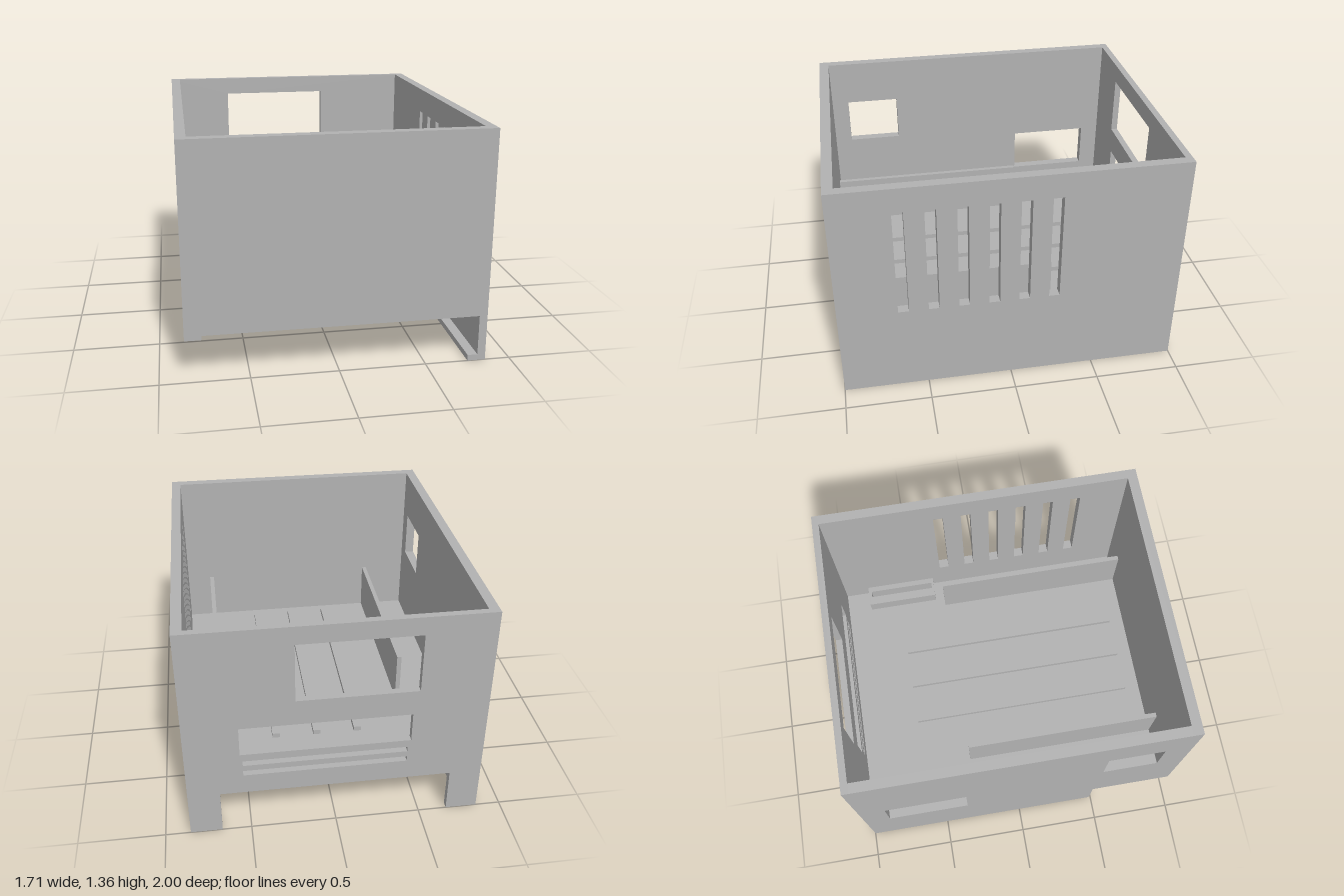
import * as THREE from 'three';

const W = 0.855, H = 1.36, FLOOR = 0.275, FLOOR_TOP = 0.315;
const IN_X = 0.797, BACK = -0.96, FRONT = 0.94;

export function createModel() {
  const model = new THREE.Group();
  model.name = 'enclosure';
  const grey = new THREE.MeshStandardMaterial({ color: 0xb2b2b2 });
  grey.name = 'grey';

  function add(name, geometry) {
    const mesh = new THREE.Mesh(geometry, grey);
    mesh.name = name;
    model.add(mesh);
  }

  // Box given by its limits on each axis
  function box(name, x0, x1, y0, y1, z0, z1) {
    const g = new THREE.BoxGeometry(x1 - x0, y1 - y0, z1 - z0);
    g.translate((x0 + x1) / 2, (y0 + y1) / 2, (z0 + z1) / 2);
    add(name, g);
  }

  // Flat plate with rectangular openings, each [u0, u1, v0, v1]
  const points = (list) => list.map(([u, v]) => new THREE.Vector2(u, v));
  function plate(outline, holes, depth) {
    const shape = new THREE.Shape(points(outline));
    for (const [a, b, c, d] of holes) {
      shape.holes.push(new THREE.Path(points([[a, c], [a, d], [b, d], [b, c]])));
    }
    return new THREE.ExtrudeGeometry(shape, { depth, bevelEnabled: false });
  }
  const rect = (a, b, c, d) => [[a, c], [b, c], [b, d], [a, d]];

  // Floor and front wall
  box('floor', -IN_X, IN_X, FLOOR, FLOOR_TOP, BACK, FRONT);
  box('frontWall', -W, W, FLOOR, H, FRONT, 1);

  // Back wall with two feet, two windows and two slits
  const back = plate(
    [[-W, 0], [-0.67, 0], [-0.67, FLOOR], [0.67, FLOOR], [0.67, 0], [W, 0], [W, H], [-W, H]],
    [
      [-0.455, 0.232, 0.89, 1.25],
      [-0.423, 0.546, 0.55, 0.733],
      [-0.405, 0.532, 0.47, 0.503],
      [-0.405, 0.532, 0.4, 0.433],
    ],
    BACK + 1
  );
  back.translate(0, 0, -1);
  add('backWall', back);

  // Left wall with a row of vent slots
  const vents = [];
  for (let i = 0; i < 6; i++) {
    const z = 0.625 - i * 0.1745;
    vents.push([z - 0.031, z + 0.031, 0.545, 1.21]);
  }
  const left = plate(rect(BACK, FRONT, FLOOR, H), vents, W - IN_X);
  left.rotateY(-Math.PI / 2).translate(W, 0, 0);
  add('ventedWall', left);

  // Right wall with two port openings
  const right = plate(
    rect(BACK, FRONT, FLOOR, H),
    [[-0.845, -0.345, 0.453, 0.733], [0.5, 0.833, 0.79, 1.08]],
    W - IN_X
  );
  right.rotateY(-Math.PI / 2).translate(-IN_X, 0, 0);
  add('portWall', right);

  // Side skirts with inward lips; the right one stops short of the front
  box('leftSkirt', 0.808, W, 0, FLOOR, BACK, 1);
  box('leftLip', 0.75, 0.808, 0, 0.035, BACK, 1);
  box('rightSkirt', -W, -0.808, 0, FLOOR, BACK, 0.49);
  box('rightLip', -0.808, -0.75, 0, 0.035, BACK, 0.49);

  // Inner partitions and floor ribs
  for (const x of [-0.513, 0.627]) {
    box('partition', x - 0.014, x + 0.014, FLOOR_TOP, 0.625, -0.28, FRONT);
  }
  for (const x of [-0.195, 0.057, 0.308]) {
    box('floorRib', x - 0.023, x + 0.023, FLOOR_TOP, 0.345, -0.59, 0.845);
  }

  // Slotted holder in the back left corner
  const holder = plate(rect(0.665, IN_X, -0.8, -0.34), [[0.72, 0.762, -0.78, -0.355]], 0.085);
  holder.rotateX(Math.PI / 2).translate(0, FLOOR_TOP + 0.085, 0);
  add('slottedHolder', holder);

  return model;
}
